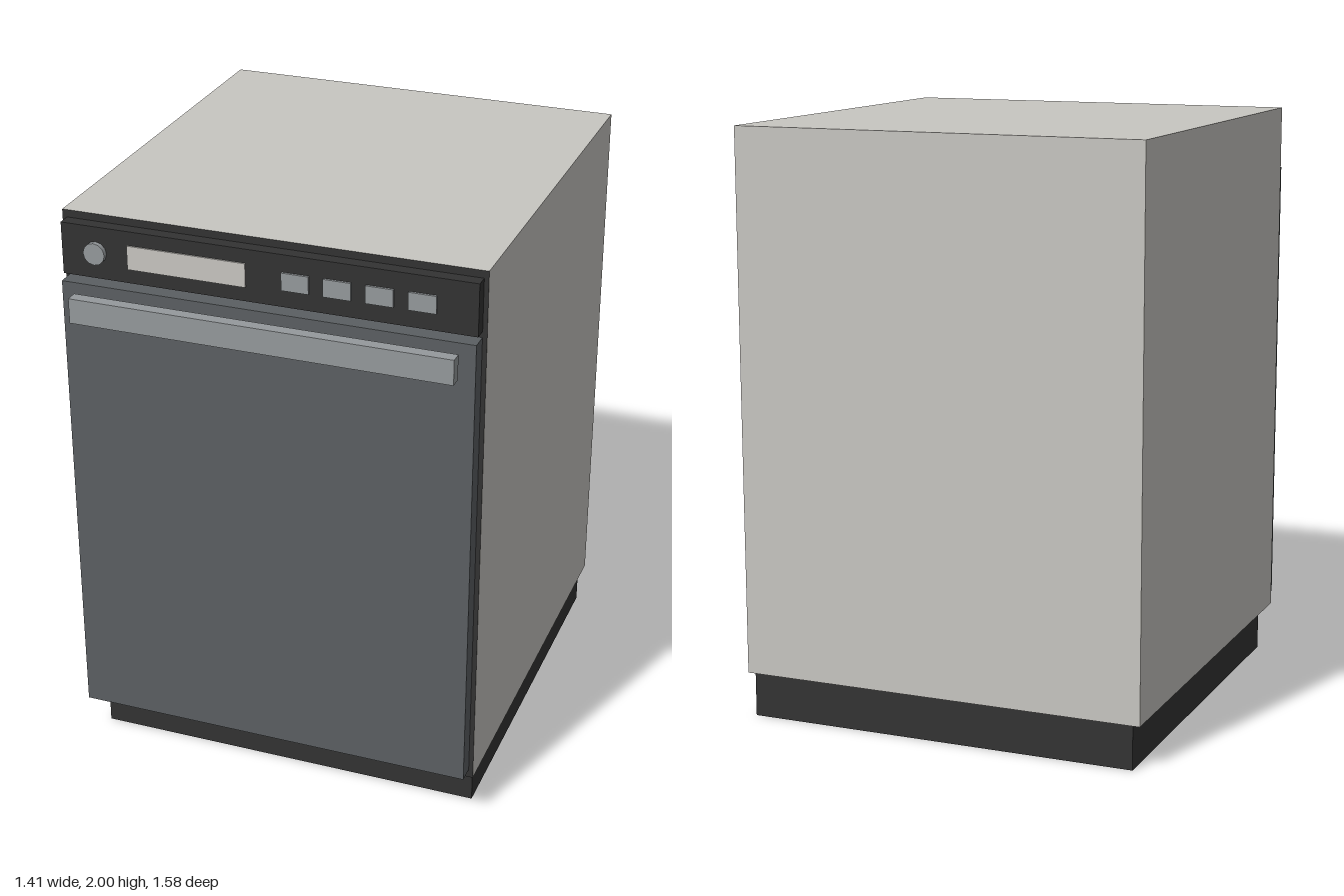
import * as THREE from 'three';

export function createModel() {
  const model = new THREE.Group();
  model.name = 'dishwasher';

  const material = (name, color) => {
    const m = new THREE.MeshStandardMaterial({ color });
    m.name = name;
    return m;
  };
  const casing = material('warm light grey', 0xc8c6c1);
  const dark = material('charcoal', 0x333333);
  const steel = material('dark steel', 0x5b5f62);
  const metal = material('light metal', 0x95999c);

  // Box given by its limits on each axis
  const box = (name, mat, [x0, x1], [y0, y1], [z0, z1]) => {
    const mesh = new THREE.Mesh(new THREE.BoxGeometry(x1 - x0, y1 - y0, z1 - z0), mat);
    mesh.position.set((x0 + x1) / 2, (y0 + y1) / 2, (z0 + z1) / 2);
    mesh.name = name;
    model.add(mesh);
    return mesh;
  };

  // Cabinet with a dark front face, on a recessed plinth
  box('cabinet', [casing, casing, casing, casing, dark, casing],
    [-0.705, 0.705], [0.15, 2], [-0.79, 0.67]);
  box('plinth', dark, [-0.68, 0.68], [0, 0.15], [-0.785, 0.59]);

  // Door and control panel
  box('door', steel, [-0.69, 0.69], [0.18, 1.78], [0.67, 0.73]);
  box('controlPanel', dark, [-0.69, 0.69], [1.8, 1.975], [0.67, 0.714]);

  // Bar handle on two posts
  box('handleBar', metal, [-0.64, 0.64], [1.665, 1.75], [0.748, 0.79]);
  for (const x of [-0.525, 0.525]) {
    box('handlePost', metal, [x - 0.026, x + 0.026], [1.677, 1.737], [0.73, 0.748]);
  }

  // Dial, display and buttons
  const dial = new THREE.Mesh(new THREE.CylinderGeometry(0.037, 0.037, 0.018, 12), metal);
  dial.geometry.rotateX(Math.PI / 2);
  dial.position.set(-0.572, 1.888, 0.722);
  dial.name = 'dial';
  model.add(dial);

  box('display', casing, [-0.462, -0.062], [1.848, 1.928], [0.714, 0.719]);
  for (let i = 0; i < 4; i++) {
    const x = 0.103 + i * 0.137;
    box('button', metal, [x - 0.045, x + 0.045], [1.858, 1.917], [0.714, 0.722]);
  }

  return model;
}
